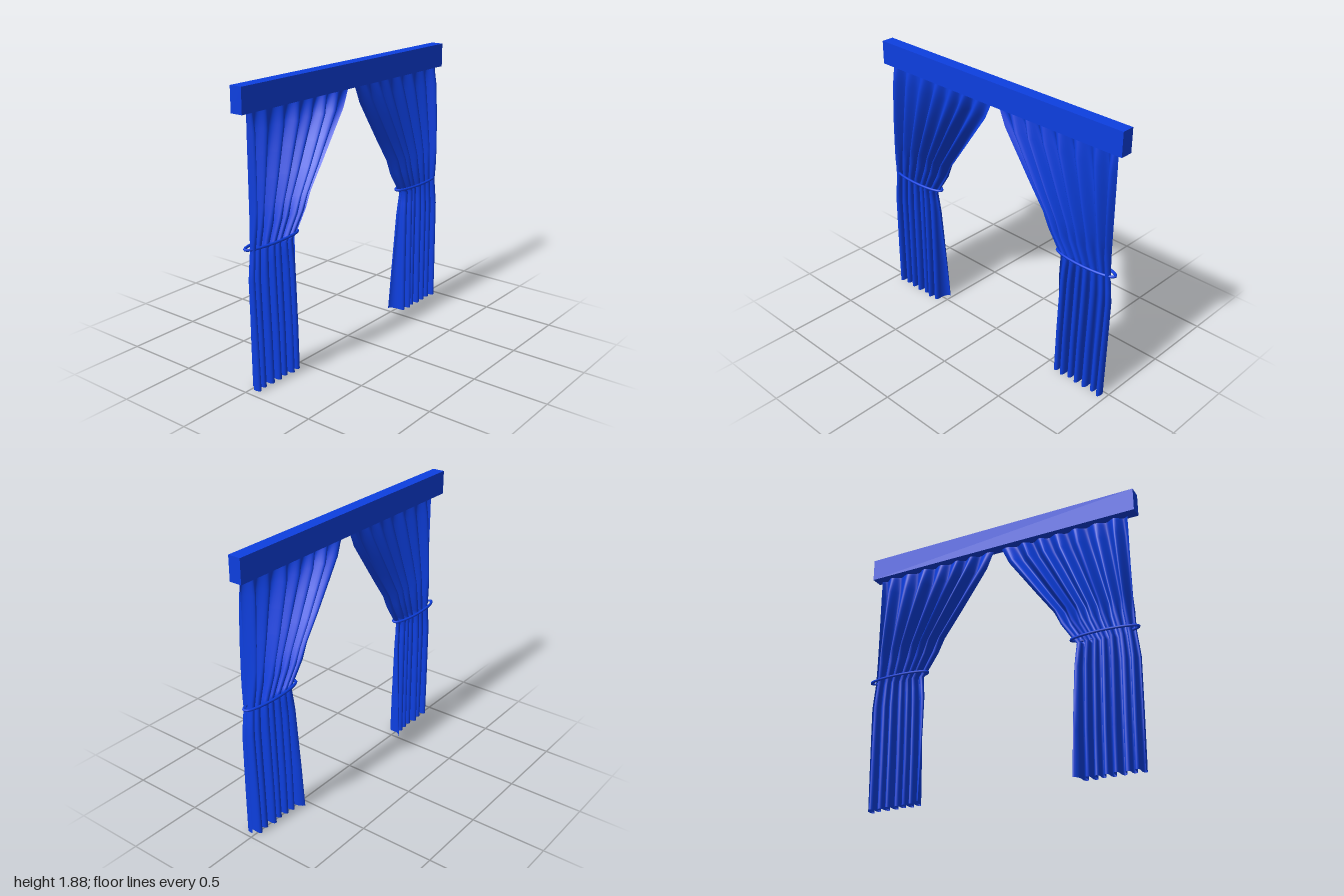
import * as THREE from 'three';

const blue = new THREE.MeshStandardMaterial({ color: 0x0d3fe0 });
const cloth = new THREE.MeshStandardMaterial({ color: 0x0d3fe0, side: THREE.DoubleSide });

// Curtain cross-sections from top to hem: height, outer edge, inner edge, fold depth
const ROWS = [
  [1.73, 0.945, 0.025, 0.016],
  [1.70, 0.945, 0.04, 0.02],
  [1.60, 0.946, 0.085, 0.037],
  [1.45, 0.946, 0.19, 0.043],
  [1.30, 0.946, 0.295, 0.047],
  [1.14, 0.946, 0.41, 0.047],
  [1.04, 0.947, 0.455, 0.043],
  [0.94, 0.95, 0.52, 0.034],
  [0.91, 0.951, 0.54, 0.03],
  [0.88, 0.953, 0.562, 0.03],
  [0.80, 0.962, 0.552, 0.032],
  [0.72, 0.97, 0.544, 0.035],
  [0.50, 0.966, 0.537, 0.039],
  [0.30, 0.962, 0.532, 0.043],
  [0.00, 0.955, 0.528, 0.047],
];
const FOLDS = 7, COLUMNS = 112, CENTRE_X = 0.01, CENTRE_Z = 0.019;

// Pleated sheet gathered towards the outer side at the tie
function curtainGeometry(side) {
  const geometry = new THREE.PlaneGeometry(1, 1, COLUMNS, ROWS.length - 1);
  const pos = geometry.attributes.position;
  for (let i = 0; i < pos.count; i++) {
    const u = (i % (COLUMNS + 1)) / COLUMNS;
    const [y, outer, inner, depth] = ROWS[Math.floor(i / (COLUMNS + 1))];
    const phase = u * FOLDS * Math.PI * 2 + 0.5 * Math.sin(u * 9);
    const wave = Math.sin(phase);
    const vary = 0.84 + 0.16 * Math.sin(u * 17 + 1);
    // the free inner edge turns backwards towards the hem
    const curl = Math.max(0, (u - 0.93) / 0.07) * Math.max(0, 0.9 - y) * 0.085;
    // below the tie the pleats lean over slightly
    const lean = y < 1.1 ? 0.006 * Math.sin(2 * phase) : 0;
    const x = THREE.MathUtils.lerp(outer, inner, u) + lean;
    pos.setXYZ(i, CENTRE_X + side * x, y, CENTRE_Z + wave * depth * vary - curl);
  }
  geometry.computeVertexNormals();
  return geometry;
}

export function createModel() {
  const model = new THREE.Group();
  model.name = 'curtains';

  // Box pelmet across the top
  const pelmet = new THREE.Mesh(new THREE.BoxGeometry(2, 0.158, 0.085), blue);
  pelmet.name = 'pelmet';
  pelmet.position.set(0, 1.796, 0.008);
  model.add(pelmet);

  for (const side of [1, -1]) {
    const label = side > 0 ? 'left' : 'right';

    const curtain = new THREE.Mesh(curtainGeometry(side), cloth);
    curtain.name = label + 'Curtain';
    model.add(curtain);

    // Flattened ring holding the gathered cloth
    const path = new THREE.CatmullRomCurve3(Array.from({ length: 24 }, (_, i) => {
      const a = (i / 24) * Math.PI * 2;
      return new THREE.Vector3(0.226 * Math.cos(a), 0, 0.051 * Math.sin(a));
    }), true);
    const tie = new THREE.Mesh(new THREE.TubeGeometry(path, 64, 0.009, 8, true), blue);
    tie.name = label + 'Tieback';
    tie.position.set(CENTRE_X + side * 0.751, 0.91, 0.008);
    model.add(tie);
  }
  return model;
}
